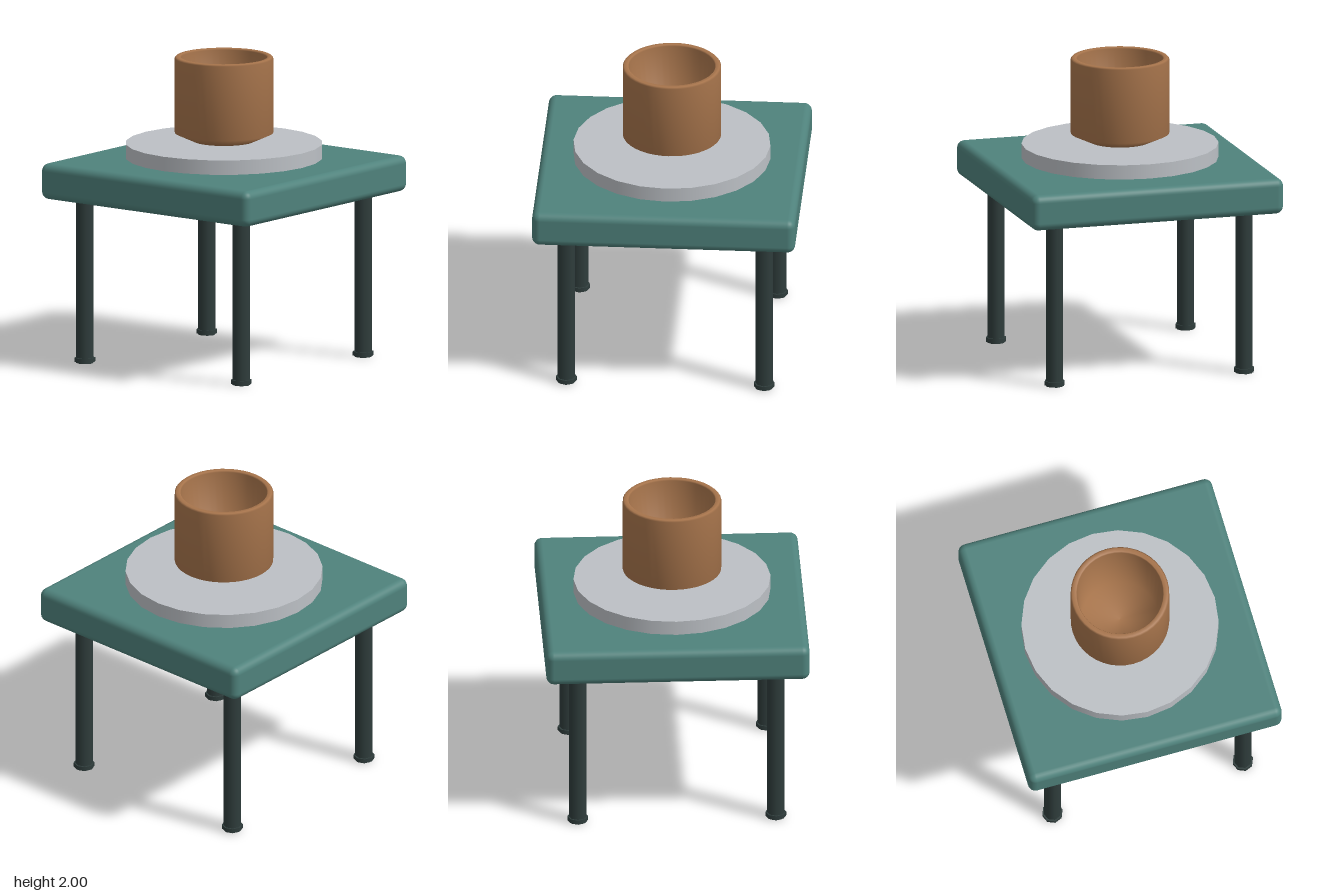
import * as THREE from 'three';
import { RoundedBoxGeometry } from 'three/addons/geometries/RoundedBoxGeometry.js';

const material = (name, color, side = THREE.FrontSide) => {
  const m = new THREE.MeshStandardMaterial({ color, side });
  m.name = name;
  return m;
};

export function createModel() {
  const model = new THREE.Group();
  model.name = 'tableWithPot';
  const teal = material('teal', 0x4f827c);
  const darkGreen = material('darkGreen', 0x2f3d3c);
  const grey = material('grey', 0xbcc0c5);
  const clay = material('clay', 0xa8754c, THREE.DoubleSide);

  const add = (parent, name, geometry, mat, x = 0, y = 0, z = 0) => {
    const mesh = new THREE.Mesh(geometry, mat);
    mesh.name = name;
    mesh.position.set(x, y, z);
    parent.add(mesh);
    return mesh;
  };

  // Thick square top with softened edges
  add(model, 'tableTop', new RoundedBoxGeometry(1.71, 0.235, 1.71, 4, 0.05), teal, 0, 1.203, 0);

  // Round plate, hovering just above the top
  add(model, 'plate', new THREE.CylinderGeometry(0.64, 0.64, 0.095, 24), grey, 0, 1.383, 0);

  // Open pot: chamfered base, straight outside, slightly tapered inside
  const profile = [
    [0, 1.445], [0.2, 1.445], [0.32, 1.5], [0.32, 1.99], [0.31, 2],
    [0.285, 2], [0.28, 1.99], [0.25, 1.52], [0, 1.5],
  ].map(([r, y]) => new THREE.Vector2(r, y));
  add(model, 'pot', new THREE.LatheGeometry(profile, 40), clay);

  // Four eight-sided legs, each with a small foot collar
  const legGeometry = new THREE.CylinderGeometry(0.057, 0.057, 1.1, 8);
  const footGeometry = new THREE.CylinderGeometry(0.068, 0.068, 0.027, 8);
  for (const sx of [1, -1]) {
    for (const sz of [1, -1]) {
      const leg = new THREE.Group();
      leg.name = (sz > 0 ? 'front' : 'back') + (sx > 0 ? 'Left' : 'Right') + 'Leg';
      leg.position.set(sx * 0.643, 0, sz * 0.643);
      add(leg, 'post', legGeometry, darkGreen, 0, 0.55, 0);
      add(leg, 'foot', footGeometry, darkGreen, 0, 0.0215, 0);
      model.add(leg);
    }
  }
  return model;
}
